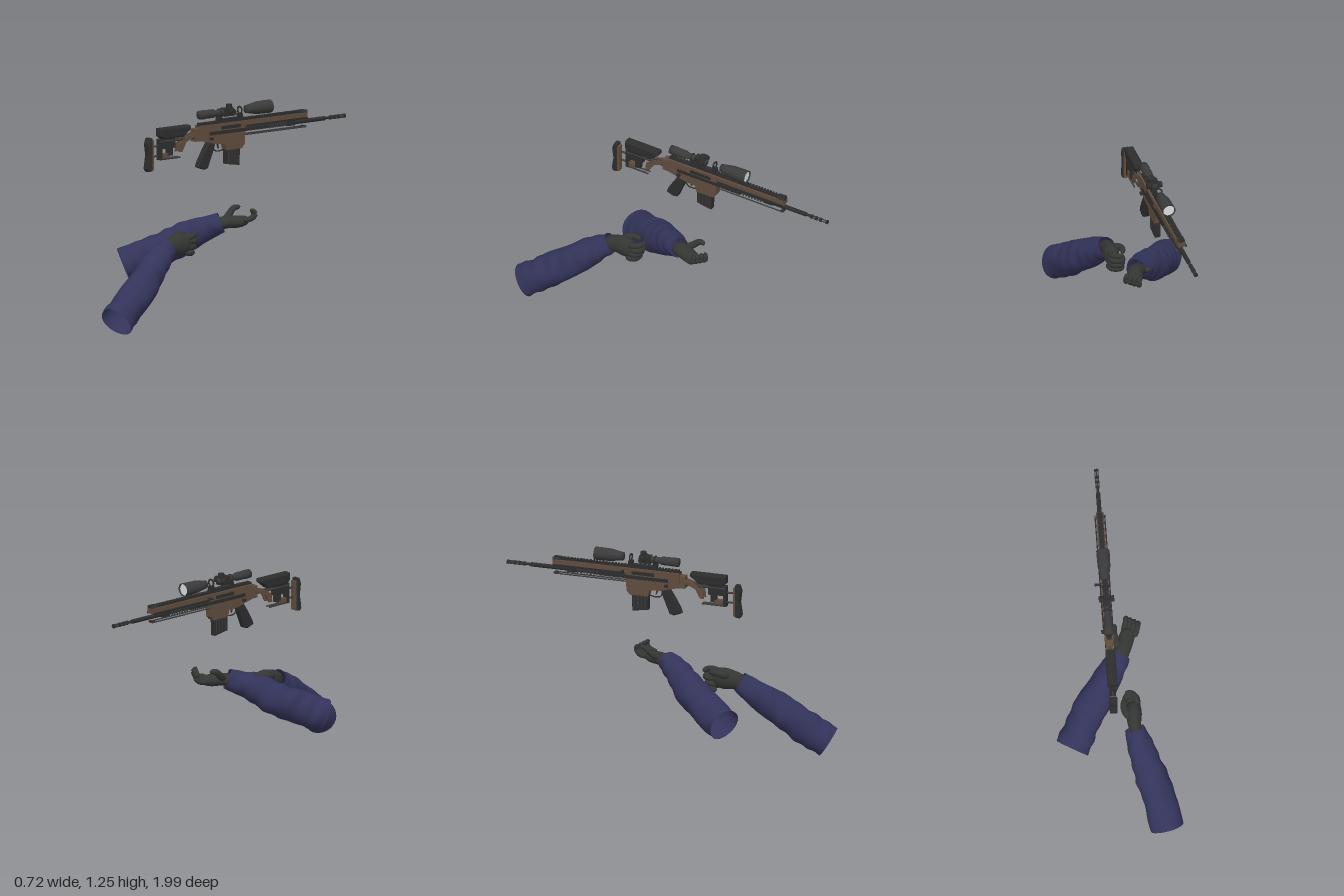
import * as THREE from 'three';

const mat = (name, color, side = THREE.FrontSide) => {
  const m = new THREE.MeshStandardMaterial({ color, side });
  m.name = name;
  return m;
};

export function createModel() {
  const black = mat('gunBlack', 0x2d2d2d);
  const brown = mat('earthBrown', 0x604c3c);
  const steel = mat('darkSteel', 0x3a3a3a, THREE.DoubleSide);
  const glass = mat('lensGrey', 0xdcdfe0);
  const cloth = mat('navyCloth', 0x33335a, THREE.DoubleSide);
  const glove = mat('gloveGrey', 0x343634);

  const model = new THREE.Group();
  const rifle = new THREE.Group();
  rifle.name = 'rifle';
  rifle.position.x = -0.015;
  model.add(rifle);

  const add = (name, geo, material, parent = rifle) => {
    const mesh = new THREE.Mesh(geo, material);
    mesh.name = name;
    parent.add(mesh);
    return mesh;
  };
  // box given by its z range and y range
  const box = (name, m, w, z0, z1, y0, y1, x = 0) =>
    add(name, new THREE.BoxGeometry(w, y1 - y0, Math.abs(z1 - z0)), m).position.set(x, (y0 + y1) / 2, (z0 + z1) / 2);
  // round part along z, from r0 at z0 to r1 at z1
  const rod = (name, m, z0, z1, y, r0, r1 = r0, x = 0) => {
    const geo = new THREE.CylinderGeometry(r0, r1, Math.abs(z0 - z1), 20);
    geo.rotateX(Math.PI / 2);
    add(name, geo, m).position.set(x, y, (z0 + z1) / 2);
  };
  // side outline of [z, y] points, extruded across x
  const plate = (name, m, pts, w, x = 0, bevel = 0) => {
    const shape = new THREE.Shape(pts.map(p => new THREE.Vector2(...p)));
    const geo = new THREE.ExtrudeGeometry(shape, {
      depth: w - 2 * bevel, bevelEnabled: bevel > 0, bevelSize: bevel, bevelThickness: bevel, bevelSegments: 2, bevelOffset: -bevel });
    geo.translate(0, 0, -w / 2 + bevel);
    geo.rotateY(-Math.PI / 2);
    add(name, geo, m).position.x = x;
  };

  // receiver, handguard and rails
  box('upperReceiver', brown, 0.052, 0.1, -0.24, 1.085, 1.15);
  box('handguard', brown, 0.046, -0.24, -0.705, 1.118, 1.15);
  box('railBase', black, 0.026, 0.1, -0.705, 1.148, 1.157);
  for (let z = 0.09; z > -0.7; z -= 0.02) box('railTooth', black, 0.034, z, z - 0.011, 1.156, 1.165);
  plate('lowerReceiver', brown, [[0.1, 1.09], [0.1, 1.06], [0.03, 1.045], [-0.02, 1.03], [-0.09, 1.025],
    [-0.1, 0.985], [-0.215, 0.985], [-0.235, 1.01], [-0.24, 1.09]], 0.046);
  for (const s of [-1, 1]) {
    box('sideStrip', black, 0.008, 0.03, -0.41, 1.088, 1.108, s * 0.028);
    box('ejectionPlate', black, 0.006, -0.06, -0.2, 1.115, 1.135, s * 0.027);
    box('sideRail', black, 0.007, -0.25, -0.7, 1.112, 1.124, s * 0.029);
    for (let i = 0; i < 7; i++) box('handguardRib', steel, 0.004, -0.42 - i * 0.02, -0.429 - i * 0.02, 1.083, 1.118, s * 0.02);
    rod('lowerGuide', steel, -0.24, -0.7, 1.064, 0.004, 0.004, s * 0.016);
    box('selector', black, 0.02, 0.03, 0.01, 1.06, 1.075, s * 0.032);
    box('sightTab', steel, 0.005, -0.66, -0.705, 1.14, 1.165, s * 0.018);
  }
  box('chargingHandle', black, 0.04, -0.25, -0.265, 1.128, 1.136, -0.042);
  box('gasBlock', black, 0.03, -0.56, -0.62, 1.08, 1.12);
  box('lowerBrace', black, 0.036, -0.68, -0.7, 1.06, 1.07);

  // barrel and vented muzzle
  rod('barrel', black, -0.2, -0.85, 1.096, 0.013);
  rod('muzzleNeck', black, -0.85, -0.88, 1.096, 0.008);
  for (const z of [-0.885, -0.915, -0.945, -0.99]) rod('muzzleRing', black, z, z - 0.01, 1.096, 0.013);
  for (const [x, y] of [[0.009, 0], [-0.009, 0], [0, 0.009], [0, -0.009]]) rod('muzzleBar', steel, -0.88, -0.995, 1.096 + y, 0.003, 0.003, x);

  // magazine, grip and trigger
  plate('magazine', black, [[-0.1, 0.99], [-0.1, 0.9], [-0.2, 0.884], [-0.205, 0.99]], 0.036, 0, 0.003);
  for (let i = 0; i < 4; i++) box('magazineRib', steel, 0.039, -0.115 - i * 0.023, -0.122 - i * 0.023, 0.905, 0.98);
  plate('grip', black, [[0.03, 1.045], [-0.02, 1.035], [-0.01, 1.0], [0.035, 0.89], [0.06, 0.882], [0.11, 0.9],
    [0.1, 0.93], [0.065, 0.99]], 0.042, 0, 0.008);
  const guard = new THREE.CatmullRomCurve3([[1.03, -0.01], [0.99, -0.025], [0.982, -0.06], [0.99, -0.1]].map(p => new THREE.Vector3(0, ...p)));
  add('triggerGuard', new THREE.TubeGeometry(guard, 16, 0.004, 6), black);
  plate('trigger', black, [[-0.04, 1.03], [-0.05, 1.03], [-0.058, 0.998], [-0.052, 0.998]], 0.008);

  // skeleton stock
  plate('cheekRest', black, [[0.395, 1.165], [0.395, 1.118], [0.37, 1.1], [0.22, 1.1], [0.165, 1.145], [0.17, 1.165]], 0.058, 0, 0.01);
  box('stockHinge', brown, 0.046, 0.1, 0.135, 1.06, 1.135);
  for (const s of [-1, 1]) {
    plate('stockStrut', brown, [[0.12, 1.12], [0.12, 1.1], [0.2, 1.065], [0.23, 1.01], [0.255, 1.01], [0.25, 1.06], [0.2, 1.095]], 0.008, s * 0.018);
    rod('stockTube', steel, 0.13, 0.39, 1.085, 0.007, 0.007, s * 0.014);
    rod('lowerStockRod', steel, 0.24, 0.39, 0.978, 0.005, 0.005, s * 0.012);
  }
  box('stockBlock', black, 0.036, 0.28, 0.38, 1.04, 1.1);
  box('stockFrontPost', black, 0.03, 0.295, 0.33, 0.995, 1.04);
  box('stockRearPost', black, 0.036, 0.375, 0.395, 0.975, 1.1);
  box('stockClamp', brown, 0.03, 0.32, 0.38, 0.985, 1.01);
  for (const y of [1.06, 1.0]) rod('buttRod', steel, 0.39, 0.45, y, 0.006);
  box('buttPlate', brown, 0.036, 0.44, 0.455, 0.92, 1.1);
  plate('buttPad', black, [[0.452, 1.115], [0.475, 1.115], [0.487, 1.08], [0.478, 1.01], [0.49, 0.93], [0.48, 0.912], [0.452, 0.915]], 0.046, 0, 0.006);

  // scope
  const sy = 1.213;
  const lathe = (name, m, pts) => {
    const geo = new THREE.LatheGeometry(pts.map(([z, r]) => new THREE.Vector2(r, -z)), 28);
    geo.rotateX(-Math.PI / 2);
    add(name, geo, m).position.y = sy;
  };
  lathe('scopeEyepiece', steel, [[0.09, 0], [0.09, 0.026], [0.05, 0.028], [0.045, 0.026], [-0.015, 0.026], [-0.03, 0.019], [-0.16, 0.019], [-0.16, 0]]);
  lathe('scopeObjective', steel, [[-0.26, 0], [-0.26, 0.024], [-0.28, 0.027], [-0.34, 0.038], [-0.44, 0.04], [-0.44, 0.035], [-0.425, 0.034]]);
  const lens = add('objectiveLens', new THREE.CircleGeometry(0.035, 28), glass);
  lens.rotation.y = Math.PI;
  lens.position.set(0, sy, -0.432);
  box('turretBlock', black, 0.044, -0.085, -0.155, 1.188, 1.236);
  for (const [a, x, y] of [[0, 0, 0.032], [1, 0.034, 0], [1, -0.034, 0]]) {
    const knob = add('turretKnob', new THREE.CylinderGeometry(0.018, 0.02, 0.024, 18), black);
    knob.position.set(x, sy + y, -0.135);
    knob.rotation.z = a * Math.PI / 2;
  }
  for (const z of [-0.06, -0.215]) {
    add('scopeRing', new THREE.TorusGeometry(0.021, 0.005, 8, 24), black).position.set(0, sy, z);
    box('scopeMount', black, 0.034, z + 0.012, z - 0.012, 1.163, 1.193);
  }
  box('mountBar', black, 0.03, -0.05, -0.23, 1.163, 1.174);

  // lofted limb: stations [x, y, z, radius], widened sideways, with optional folds
  const loft = (name, material, parent, stations, { wide = 1, rows = 14, cols = 14, fold = 0, phase = 0, open = false } = {}) => {
    const curve = new THREE.CatmullRomCurve3(stations.map(s => new THREE.Vector3(s[0], s[1], s[2])));
    const pos = [], index = [], up = new THREE.Vector3(0, 1, 0);
    for (let i = 0; i <= rows; i++) {
      const t = i / rows, k = Math.min(t * (stations.length - 1), stations.length - 1.0001), n = Math.floor(k);
      const c = curve.getPoint(t), dir = curve.getTangent(t);
      const s = dir.clone().cross(up).normalize(), u = s.clone().cross(dir);
      let r = THREE.MathUtils.lerp(stations[n][3], stations[n + 1][3], k - n);
      if (!open) r *= Math.sqrt(Math.max(0, 1 - Math.pow(Math.abs(2 * t - 1), 7)));
      for (let j = 0; j < cols; j++) {
        const a = j / cols * Math.PI * 2;
        const f = 1 + fold * (Math.sin(t * 40 + 2.4 * Math.sin(a + phase)) * (0.5 + 0.5 * Math.sin(a * 2 + t * 7 + phase))
          + 0.6 * Math.sin(3 * a + t * 13 + phase) + 0.5 * Math.sin(t * 17 - 2 * a));
        const p = c.clone().addScaledVector(s, Math.cos(a) * r * wide * f).addScaledVector(u, Math.sin(a) * r * f);
        pos.push(p.x, p.y, p.z);
        if (i < rows) {
          const b = i * cols + (j + 1) % cols, o = i * cols + j;
          index.push(o, o + cols, b, b, o + cols, b + cols);
        }
      }
    }
    const geo = new THREE.BufferGeometry();
    geo.setAttribute('position', new THREE.Float32BufferAttribute(pos, 3));
    geo.setIndex(index);
    geo.computeVertexNormals();
    return add(name, geo, material, parent);
  };
  const group = name => {
    const g = new THREE.Group();
    g.name = name;
    model.add(g);
    return g;
  };
  const sleeve = { rows: 80, cols: 48, fold: 0.042, open: true };

  // supporting arm with an open, upturned hand
  const left = group('supportArm');
  loft('supportSleeve', cloth, left, [[-0.265, 0.315, 0.465, 0.102], [-0.19, 0.37, 0.34, 0.1], [-0.11, 0.435, 0.215, 0.1],
    [-0.02, 0.51, 0.1, 0.083], [0.065, 0.565, -0.015, 0.06]], { ...sleeve, phase: 1 });
  loft('supportPalm', glove, left, [[0.04, 0.55, 0.02, 0.04], [0.075, 0.565, -0.05, 0.037], [0.1, 0.565, -0.11, 0.036], [0.125, 0.575, -0.175, 0.03]],
    { wide: 1.35, rows: 20, cols: 24 });
  for (let i = 0; i < 4; i++) {
    const x = 0.083 + i * 0.023, z = -0.15 + i * 0.014, y = 0.565 + i * 0.005;
    loft('supportFinger', glove, left, [[x, y, z, 0.017], [x + 0.018, y + 0.008, z - 0.055, 0.016],
      [x + 0.026, y + 0.035, z - 0.077, 0.015], [x + 0.012, y + 0.066, z - 0.06, 0.013]]);
  }
  loft('supportThumb', glove, left, [[0.055, 0.57, -0.05, 0.026], [0.035, 0.605, -0.1, 0.021], [0.03, 0.635, -0.135, 0.018], [0.04, 0.642, -0.18, 0.014]]);

  // firing arm with a closed hand and hooked forefinger
  const right = group('firingArm');
  loft('firingSleeve', cloth, right, [[0.275, 0.095, 0.93, 0.1], [0.245, 0.175, 0.81, 0.1], [0.2, 0.28, 0.67, 0.097],
    [0.15, 0.38, 0.54, 0.083], [0.115, 0.465, 0.425, 0.06]], { ...sleeve, phase: 3.4 });
  loft('firingPalm', glove, right, [[0.125, 0.445, 0.46, 0.045], [0.115, 0.47, 0.4, 0.055], [0.115, 0.475, 0.34, 0.066], [0.12, 0.475, 0.26, 0.062]],
    { wide: 0.72, rows: 20, cols: 24 });
  for (let i = 0; i < 3; i++) {
    const y = 0.422 + i * 0.034, z = 0.3 - i * 0.012;
    loft('firingFinger', glove, right, [[0.145, y, z + 0.01, 0.02], [0.13, y, z - 0.045, 0.02], [0.08, y - 0.004, z - 0.05, 0.019], [0.06, y - 0.008, z + 0.005, 0.016]]);
  }
  loft('firingForefinger', glove, right, [[0.14, 0.51, 0.3, 0.02], [0.13, 0.522, 0.24, 0.018], [0.1, 0.524, 0.217, 0.016], [0.068, 0.522, 0.22, 0.013]]);
  loft('firingThumb', glove, right, [[0.09, 0.5, 0.37, 0.026], [0.062, 0.515, 0.325, 0.022], [0.058, 0.525, 0.285, 0.018], [0.066, 0.522, 0.25, 0.014]]);
  return model;
}
